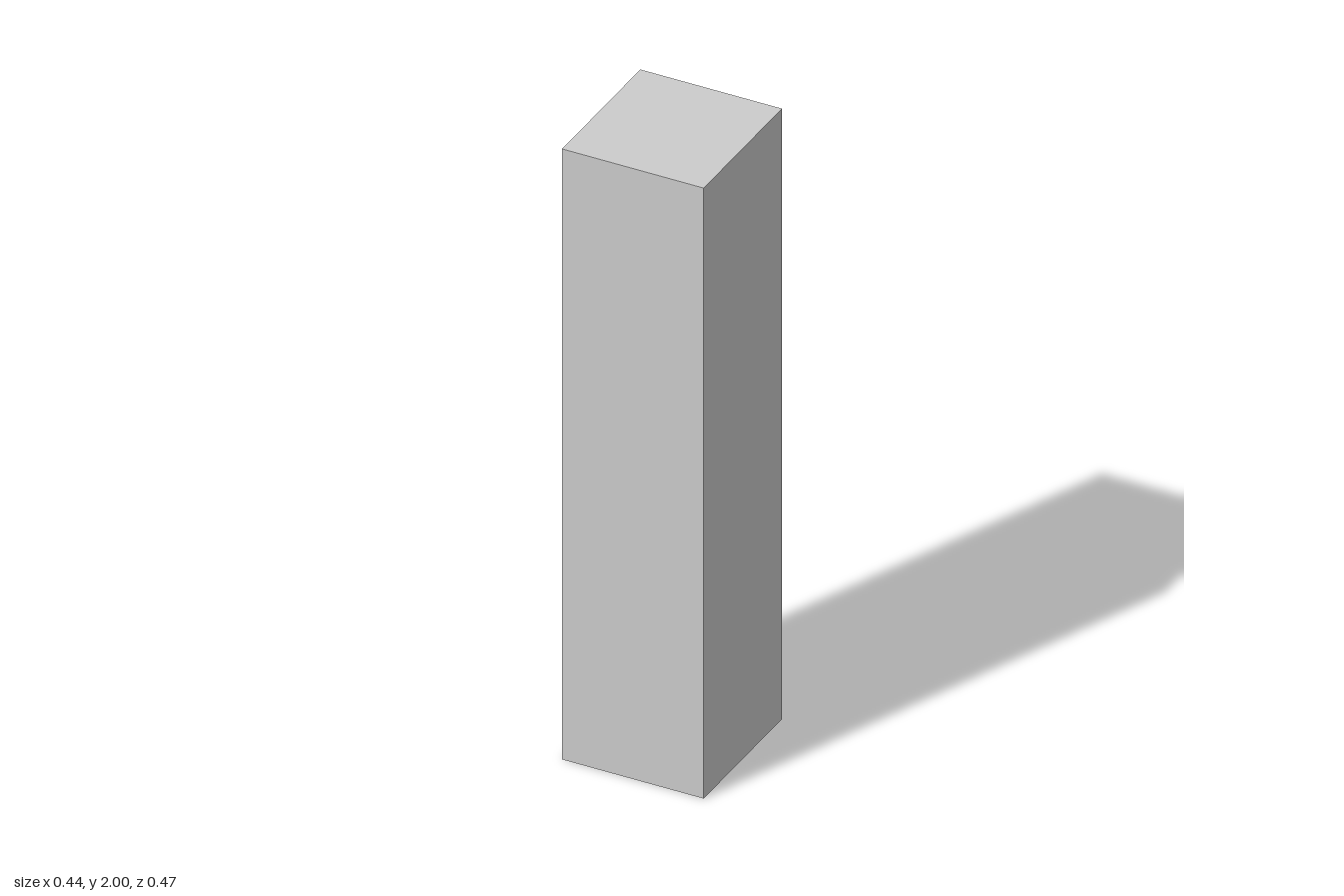
import * as THREE from 'three';

const W = 0.444, H = 2, D = 0.47;
const LAYER = 0.035;    // depth of the frame in front of the solid body
const RECESS = 0.015;   // how far the door sits behind the frame
const BORDER = 0.03;    // width of the frame
const HINGE = 0.014;    // how far a hinge reaches over the door
const HINGES = [[0.305, 0.49], [1.51, 1.695]];

const material = new THREE.MeshStandardMaterial({ color: 0xcccccc });

function addMesh(parent, name, geometry, x = 0, y = 0, z = 0) {
  const mesh = new THREE.Mesh(geometry, material);
  mesh.name = name;
  mesh.position.set(x, y, z);
  parent.add(mesh);
  return mesh;
}

function rectangle(Type, x0, y0, x1, y1) {
  return new Type([[x0, y0], [x1, y0], [x1, y1], [x0, y1]].map(p => new THREE.Vector2(...p)));
}

// Upright slot with round ends
function slotPath(x, y0, y1, r) {
  const path = new THREE.Path();
  path.absarc(x, y1 - r, r, 0, Math.PI);
  path.absarc(x, y0 + r, r, Math.PI, 2 * Math.PI);
  path.closePath();
  return path;
}

const extrude = (shape, depth) =>
  new THREE.ExtrudeGeometry(shape, { depth, bevelEnabled: false, curveSegments: 12 });

export function createModel() {
  const locker = new THREE.Group();
  locker.name = 'locker';
  const back = -D / 2;

  // Solid cabinet behind the door
  addMesh(locker, 'cabinetBody', new THREE.BoxGeometry(W, H, D - LAYER), 0, H / 2, LAYER / 2);

  // Door frame, its opening stepping inwards around the hinges on the +x side
  const x0 = -W / 2 + BORDER, x1 = W / 2 - BORDER;
  const y0 = BORDER, y1 = H - BORDER;
  const opening = [[x0, y0], [x1, y0]];
  for (const [a, b] of HINGES) {
    opening.push([x1, a], [x1 - HINGE, a], [x1 - HINGE, b], [x1, b]);
  }
  opening.push([x1, y1], [x0, y1]);
  const frame = rectangle(THREE.Shape, -W / 2, 0, W / 2, H);
  frame.holes.push(new THREE.Path(opening.map(p => new THREE.Vector2(...p))));
  addMesh(locker, 'doorFrameWithHinges', extrude(frame, LAYER), 0, 0, back);

  // Recessed door with a slot as finger pull
  const door = rectangle(THREE.Shape, x0, y0, x1, y1);
  door.holes.push(slotPath(-0.165, 0.99, 1.195, 0.014));
  addMesh(locker, 'doorWithHandleSlot', extrude(door, LAYER - RECESS), 0, 0, back + RECESS);

  return locker;
}
